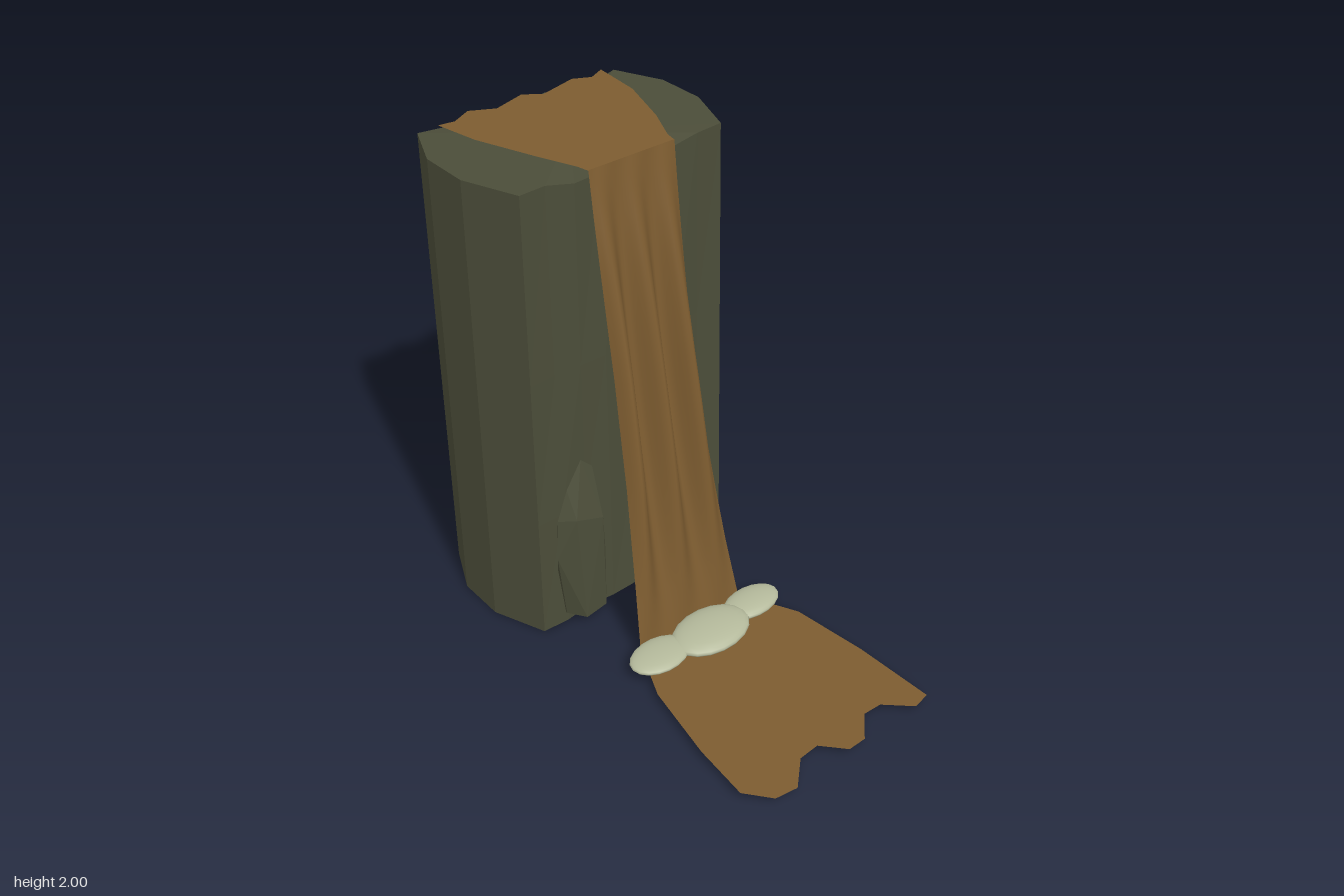
import * as THREE from 'three';
import { ConvexGeometry } from 'three/addons/geometries/ConvexGeometry.js';

const rockMat = new THREE.MeshStandardMaterial({ color: 0x4b4d39, flatShading: true, side: THREE.DoubleSide });
rockMat.name = 'mossy rock';
const waterMat = new THREE.MeshStandardMaterial({ color: 0x7d5c30, side: THREE.DoubleSide });
waterMat.name = 'muddy water';
const foamMat = new THREE.MeshStandardMaterial({ color: 0xb4b99b });
foamMat.name = 'pale foam';

function add(group, name, geometry, material) {
  const mesh = new THREE.Mesh(geometry, material);
  mesh.name = name;
  group.add(mesh);
  return mesh;
}

// Tall cliff: footprint swept upward with a slight taper, ragged rim, open base
function cliffGeometry() {
  const outline = [];
  const n = 8;
  for (let i = 0; i <= n; i++) outline.push([-0.47 + 0.94 * i / n, -0.325]);
  outline.push([0.56, -0.55], [0.56, -0.76]);
  for (let i = 0; i <= n; i++) outline.push([0.47 - 0.94 * i / n, -0.96]);
  outline.push([-0.56, -0.76], [-0.56, -0.55]);
  const levels = [0, 0.55, 1.2, 1.96];
  const count = outline.length;
  const pos = [], idx = [];
  levels.forEach((y, r) => {
    outline.forEach(([x, z], i) => {
      const inner = Math.abs(x) < 0.46;
      const wobble = inner ? 0.008 * Math.sin(i * 2.3 + r * 0.9) : 0;
      const rim = r === 3 ? (inner ? -0.005 + 0.014 * Math.sin(i * 1.9) : 0.01) : 0;
      pos.push(x * (1 - 0.05 * y / 1.96), y + rim, z + (z > -0.5 ? wobble : Math.abs(wobble) * 0.6));
    });
  });
  for (let r = 0; r < 3; r++) {
    for (let i = 0; i < count; i++) {
      const a = r * count + i, b = r * count + (i + 1) % count;
      idx.push(a, b, b + count, a, b + count, a + count);
    }
  }
  // Top cap
  const centre = pos.length / 3;
  pos.push(0, 1.955, -0.65);
  for (let i = 0; i < count; i++) idx.push(3 * count + i, 3 * count + (i + 1) % count, centre);
  const g = new THREE.BufferGeometry();
  g.setAttribute('position', new THREE.Float32BufferAttribute(pos, 3));
  g.setIndex(idx);
  g.computeVertexNormals();
  return g;
}

// Falling curtain: a grid bent along a profile, with soft vertical folds
function curtainGeometry() {
  const path = [[2, -0.28], [1.85, -0.258], [1.6, -0.217], [1.2, -0.15], [0.75, -0.075], [0.3, -0.005], [0.03, 0.04]];
  const widths = [0.19, 0.192, 0.195, 0.2, 0.215, 0.24, 0.26];
  const cols = 32, rows = 24;
  const g = new THREE.PlaneGeometry(2, 1, cols, rows);
  const p = g.attributes.position;
  for (let i = 0; i < p.count; i++) {
    const u = p.getX(i);
    const t = (0.5 - p.getY(i)) * (path.length - 1);
    const k = Math.min(Math.floor(t), path.length - 2), f = t - k;
    const mix = (a, b) => a + (b - a) * f;
    const y = mix(path[k][0], path[k + 1][0]);
    const fold = 0.046 * Math.sin(Math.PI * Math.min(1, Math.max(0, (y - 0.03) / 1.97)));
    const z = mix(path[k][1], path[k + 1][1]) + fold * Math.cos(u * 8.5 + 0.5);
    p.setXYZ(i, u * mix(widths[k], widths[k + 1]), y, z);
  }
  g.computeVertexNormals();
  return g;
}

// Flat water sheet from [x, z] corners
function sheetGeometry(points, y) {
  const shape = new THREE.Shape(points.map(([x, z]) => new THREE.Vector2(x, -z)));
  return new THREE.ShapeGeometry(shape).rotateX(-Math.PI / 2).translate(0, y, 0);
}

function boulderGeometry(points) {
  return new ConvexGeometry(points.map(([x, y, z]) => new THREE.Vector3(x, y, z)));
}

export function createModel() {
  const model = new THREE.Group();
  model.name = 'waterfall';

  add(model, 'cliff', cliffGeometry(), rockMat);

  // Angular boulders leaning on the foot of the cliff
  add(model, 'leftSideBoulder', boulderGeometry([
    [0.23, 0.04, -0.27], [0.34, 0.03, -0.25], [0.385, 0.05, -0.3], [0.36, 0.04, -0.4], [0.24, 0.04, -0.4],
    [0.22, 0.25, -0.27], [0.33, 0.22, -0.26], [0.41, 0.21, -0.31], [0.38, 0.25, -0.38],
    [0.3, 0.48, -0.305], [0.385, 0.4, -0.325], [0.25, 0.4, -0.34],
  ]), rockMat);
  add(model, 'rightSideBoulder', boulderGeometry([
    [-0.31, 0.04, -0.245], [-0.2, 0.04, -0.26], [-0.365, 0.05, -0.31], [-0.34, 0.03, -0.41], [-0.2, 0.03, -0.41],
    [-0.4, 0.36, -0.3], [-0.39, 0.55, -0.3], [-0.33, 0.55, -0.255], [-0.2, 0.5, -0.26], [-0.18, 0.3, -0.28],
    [-0.34, 0.68, -0.3], [-0.25, 0.77, -0.325], [-0.2, 0.72, -0.32],
  ]), rockMat);

  // Water: stream on top, falling curtain, pool at the foot
  add(model, 'upperStream', sheetGeometry([
    [-0.19, -0.28], [0.19, -0.28], [0.2, -0.33], [0.27, -0.48], [0.35, -0.72], [0.37, -0.94], [0.3, -0.905],
    [0.23, -0.94], [0.065, -0.895], [0, -0.945], [-0.14, -0.9], [-0.235, -0.95], [-0.32, -0.905],
    [-0.385, -0.915], [-0.35, -0.73], [-0.26, -0.48], [-0.2, -0.33],
  ], 1.998), waterMat);
  add(model, 'fallingWater', curtainGeometry(), waterMat);
  add(model, 'lowerPool', sheetGeometry([
    [-0.26, 0.04], [-0.36, 0.27], [-0.42, 0.6], [-0.44, 0.84], [-0.36, 0.94], [-0.265, 0.955], [-0.16, 0.86],
    [-0.07, 0.855], [0.01, 0.945], [0.09, 0.945], [0.18, 0.855], [0.26, 0.86], [0.36, 0.955], [0.435, 0.94],
    [0.42, 0.6], [0.38, 0.28], [0.26, 0.04],
  ], 0.032), waterMat);

  // Foam mounds where the water lands: centre, then half sizes
  [
    ['foamCentre', 0.01, 0.063, 0.155, 0.18, 0.037, 0.122],
    ['foamRight', -0.235, 0.06, 0.13, 0.135, 0.026, 0.092],
    ['foamLeft', 0.255, 0.053, 0.125, 0.135, 0.028, 0.083],
  ].forEach(([name, x, y, z, sx, sy, sz]) => {
    const mound = add(model, name, new THREE.SphereGeometry(1, 18, 12), foamMat);
    mound.position.set(x, y, z);
    mound.scale.set(sx, sy, sz);
  });

  return model;
}
